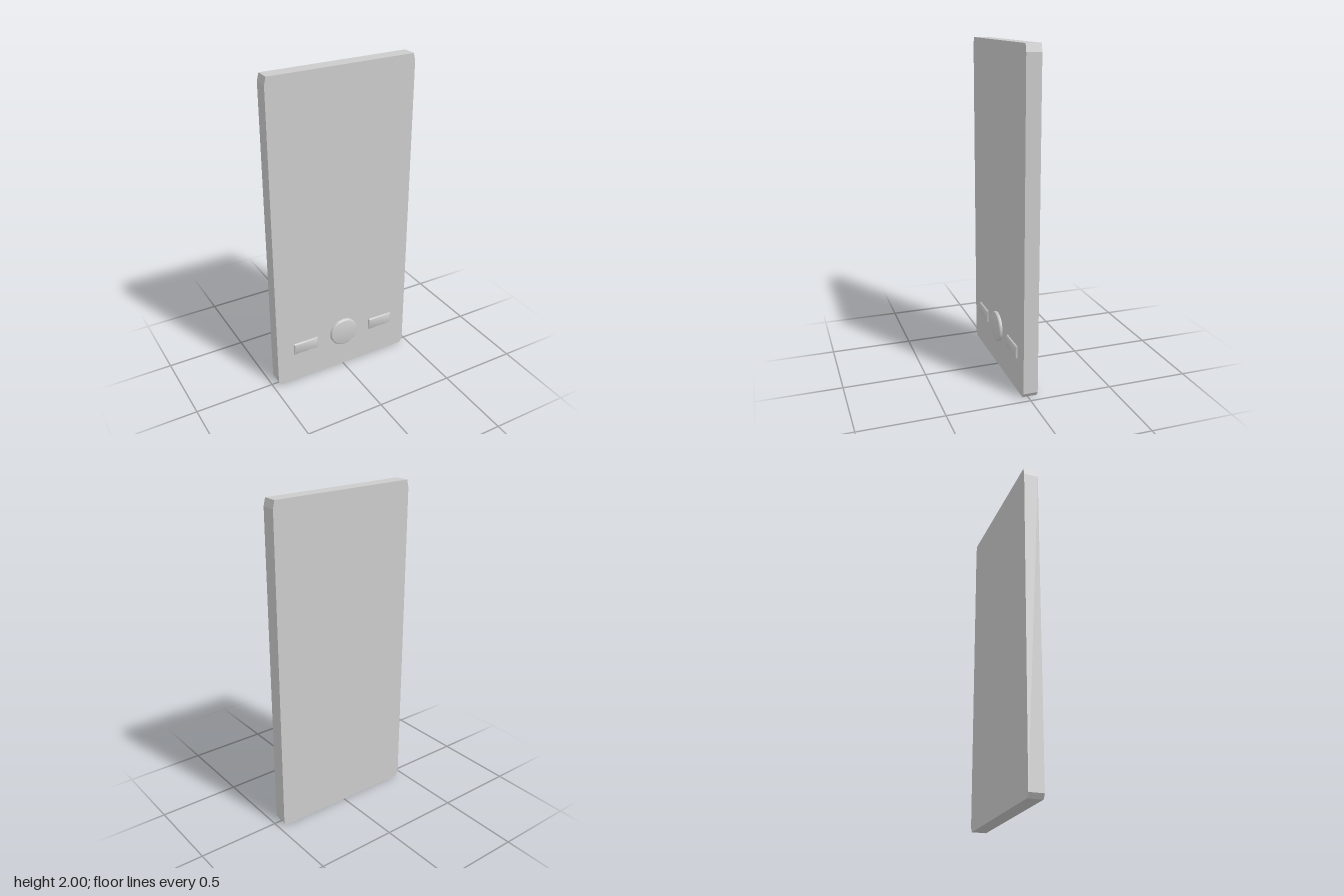
import * as THREE from 'three';
import { toCreasedNormals } from 'three/addons/utils/BufferGeometryUtils.js';

const material = new THREE.MeshStandardMaterial({ color: 0xcccccc });

function addPart(group, name, geometry) {
  const mesh = new THREE.Mesh(geometry, material);
  mesh.name = name;
  group.add(mesh);
  return mesh;
}

const polygon = (points) => new THREE.Shape(points.map(([x, y]) => new THREE.Vector2(x, y)));

// Low rectangular key with a softened front rim
function keyGeometry(width, height) {
  const bevel = 0.006;
  const w = width / 2 - bevel, h = height / 2 - bevel;
  const geometry = new THREE.ExtrudeGeometry(polygon([[-w, -h], [w, -h], [w, h], [-w, h]]), {
    depth: 0.012, bevelSize: bevel, bevelThickness: bevel, bevelSegments: 1,
  });
  return toCreasedNormals(geometry, THREE.MathUtils.degToRad(50));
}

export function createModel() {
  const group = new THREE.Group();
  group.name = 'handheldDevice';

  // Flat slab with clipped corners
  const right = [[0.447, 0], [0.465, 0.027], [0.465, 1.955], [0.454, 2]];
  const left = right.map(([x, y]) => [-x, y]).reverse();
  const body = addPart(group, 'body', new THREE.ExtrudeGeometry(polygon([...right, ...left]), {
    depth: 0.088, bevelEnabled: false,
  }));
  body.position.z = -0.056;

  // Round centre button with a bevelled rim
  const profile = [[0.093, 0], [0.093, 0.015], [0.09, 0.019], [0.084, 0.021], [0, 0.021]]
    .map(([r, y]) => new THREE.Vector2(r, y));
  const home = addPart(group, 'homeButton',
    toCreasedNormals(new THREE.LatheGeometry(profile, 48), THREE.MathUtils.degToRad(50)));
  home.rotation.x = Math.PI / 2;
  home.position.set(0, 0.258, 0.03);

  // Rectangular keys either side
  for (const [name, x] of [['rightKey', -0.269], ['leftKey', 0.274]]) {
    const key = addPart(group, name, keyGeometry(0.167, 0.076));
    key.position.set(x, 0.243, 0.025);
  }
  return group;
}
